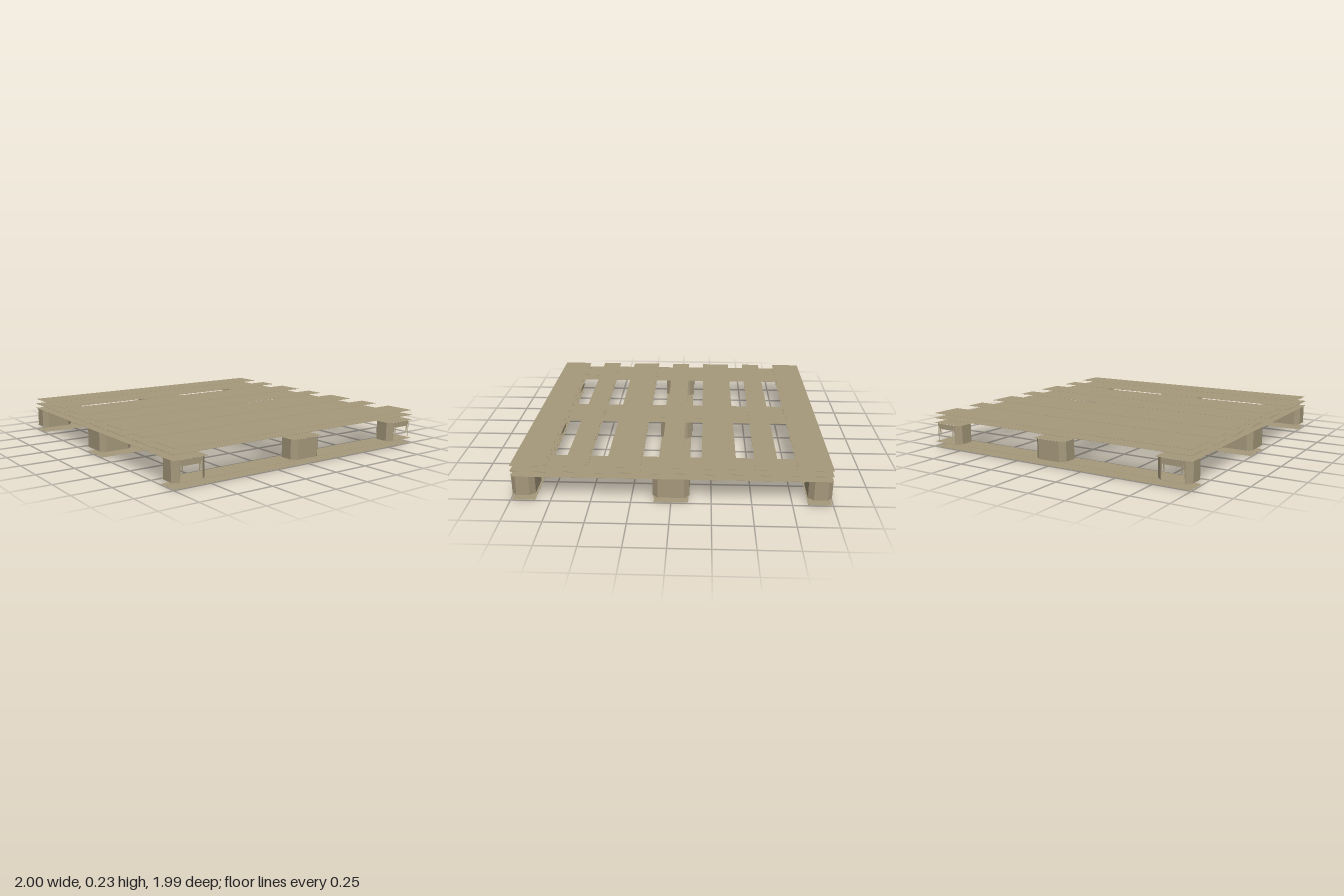
import * as THREE from 'three';

export function createModel() {
  const pallet = new THREE.Group();
  pallet.name = 'pallet';
  const wood = new THREE.MeshStandardMaterial({ color: 0xa6997c });
  wood.name = 'wood';

  const add = (parent, geometry, name) => {
    const mesh = new THREE.Mesh(geometry, wood);
    mesh.name = name;
    parent.add(mesh);
    return mesh;
  };

  // Each board is an upper and a lower sheet with open edges
  const T = 0.035, SHEET = 0.001;
  function board(name, x, z, w, d, bottom) {
    const group = new THREE.Group();
    group.name = name;
    for (const [y, part] of [[bottom + SHEET / 2, 'lowerFace'], [bottom + T - SHEET / 2, 'upperFace']]) {
      add(group, new THREE.BoxGeometry(w, SHEET, d), part).position.set(x, y, z);
    }
    pallet.add(group);
  }

  // Deck boards, alternately wide and narrow
  for (let i = -3; i <= 3; i++) {
    board('deckBoard', 0, i * 0.295, 1.98, i % 2 ? 0.212 : 0.138, 0.2);
  }
  // Stringers below the deck, and skids on the ground
  for (const s of [-1, 0, 1]) {
    board('stringer', s * 0.88, 0, 0.24, 1.98, 0.165);
    board('bottomBoard', 0, s * 0.92, 1.98, s ? 0.145 : 0.215, 0);
  }

  // Upright walls of a block with chamfered corners, open above and below
  const LOW = 0.035, HIGH = 0.165;
  function blockWalls(hx, hz, cx, cz, openFront) {
    const loop = [
      [-hx + cx, hz], [hx - cx, hz], [hx, hz - cz], [hx, -hz + cz],
      [hx - cx, -hz], [-hx + cx, -hz], [-hx, -hz + cz], [-hx, hz - cz],
    ];
    const p = [];
    loop.forEach(([ax, az], i) => {
      if (openFront && i === 0) return;
      const [bx, bz] = loop[(i + 1) % loop.length];
      p.push(ax, LOW, az, bx, LOW, bz, bx, HIGH, bz, ax, LOW, az, bx, HIGH, bz, ax, HIGH, az);
    });
    const g = new THREE.BufferGeometry();
    g.setAttribute('position', new THREE.Float32BufferAttribute(p, 3));
    g.computeVertexNormals();
    return g;
  }

  // Outer face of a corner block, with a ragged notch open at the bottom
  function notchedFace(half) {
    const side = [[half, LOW], [0.077, LOW], [0.068, 0.145], [0.06, 0.085], [0.053, 0.09], [0.053, 0.128]];
    const left = side.map(([x, y]) => [-x, y]).reverse();
    const outline = [[-half, HIGH], [half, HIGH], ...side, ...left];
    return new THREE.ShapeGeometry(new THREE.Shape(outline.map(([x, y]) => new THREE.Vector2(x, y))));
  }

  // Nine spacer blocks
  for (const sx of [-1, 0, 1]) {
    for (const sz of [-1, 0, 1]) {
      const corner = sx !== 0 && sz !== 0;
      const hz = sz ? 0.074 : 0.114;
      const block = new THREE.Group();
      block.name = corner ? 'cornerBlock' : 'block';
      add(block, blockWalls(0.114, hz, 0.034, 0.032, corner), 'blockWalls');
      if (corner) add(block, notchedFace(0.08), 'notchedFace').position.z = hz;
      block.position.set(sx * 0.88, 0, sz * 0.92);
      if (sz < 0) block.rotation.y = Math.PI;
      pallet.add(block);
    }
  }
  return pallet;
}
